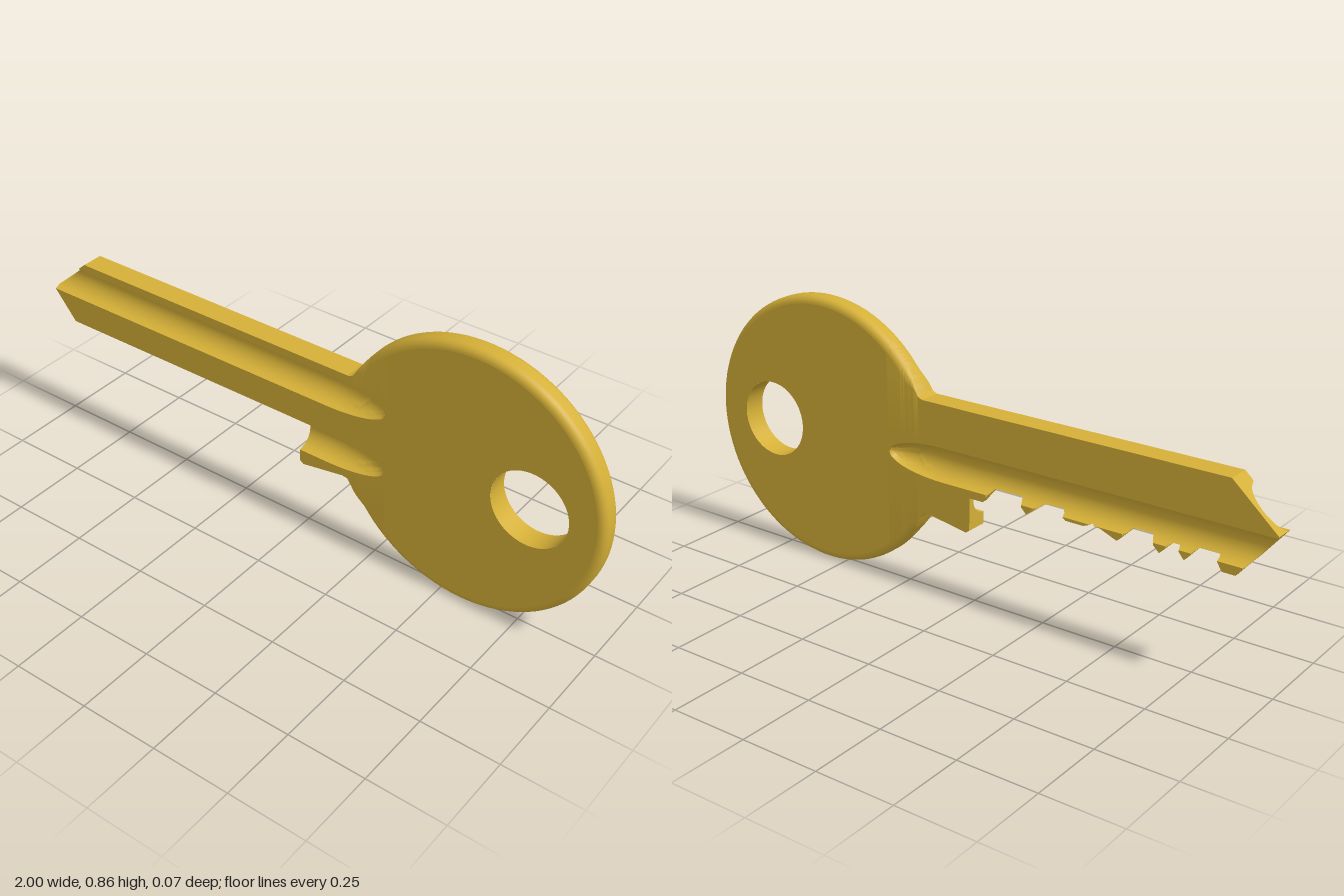
import * as THREE from 'three';
import { toCreasedNormals } from 'three/addons/utils/BufferGeometryUtils.js';

const H = 0.036;                       // half thickness
const R = 0.432, CX = 0.568, CY = 0.432; // round head
const RIM = 0.024;                     // rounding of the head's edge
const NECK = 0.183, SEAM = 0.3;        // where the circle starts, where the bow starts

// Outline of the blade, left to right
const topLine = [[-1, 0.49], [-0.855, 0.62], [0.165, 0.62], [0.175, 0.623], [NECK, 0.628]];
const bottomLine = [
  [-1, 0.49], [-0.883, 0.348], [-0.842, 0.348], [-0.82, 0.384], [-0.757, 0.384], [-0.727, 0.35],
  [-0.702, 0.38], [-0.68, 0.38], [-0.65, 0.35], [-0.612, 0.386], [-0.55, 0.386], [-0.515, 0.35],
  [-0.46, 0.372], [-0.43, 0.376], [-0.405, 0.366], [-0.345, 0.366], [-0.318, 0.386], [-0.255, 0.384],
  [-0.21, 0.35], [-0.175, 0.386], [-0.078, 0.386], [-0.055, 0.35], [-0.008, 0.35], [-0.006, 0.245],
  [0.006, 0.236], [0.15, 0.26], [0.168, 0.257], [NECK, 0.236],
];
// Milled grooves: centre height and half width, from bottom to top
const frontGrooves = [[0.337, 0.053], [0.54, 0.055]];
const backGrooves = [[0.43, 0.055]];

function lineAt(line, x) {
  for (let i = 1; i < line.length; i++) {
    const [x0, y0] = line[i - 1], [x1, y1] = line[i];
    if (x <= x1) return y0 + (y1 - y0) * (x - x0) / (x1 - x0);
  }
  return line[line.length - 1][1];
}

// Outline height at x, inset by d from the circle on the head
function edgeAt(x, sign, d) {
  if (x <= NECK) return lineAt(sign > 0 ? topLine : bottomLine, x);
  return CY + sign * Math.sqrt(Math.max(0, (R - d) ** 2 - (x - CX) ** 2));
}

const rimAt = (x) => RIM * THREE.MathUtils.smoothstep(x, NECK, 0.235);

// Grooves run out in an elliptical end inside the head
function grooveWidth(w, x) {
  const t = Math.max(0, (x - 0.09) / 0.205);
  return w * Math.sqrt(Math.max(0, 1 - t * t));
}

function depthAt(x, y, grooves) {
  let z = H;
  const r = rimAt(x), d = Math.max(0, R - Math.hypot(x - CX, y - CY));
  if (r > 0 && d < r) z -= r - Math.sqrt(Math.max(0, r * r - (r - d) ** 2));
  for (const [c, w] of grooves) {
    z -= Math.sqrt(Math.max(0, grooveWidth(w, x) ** 2 - (y - c) ** 2));
  }
  return z;
}

// One column of surface points from the bottom edge to the top edge
function column(x, grooves, side) {
  const insets = [0, 1, 2, 3, 4, 5].map((k) => rimAt(x) * (1 - Math.cos(k * Math.PI / 10)));
  const low = insets.map((d) => edgeAt(x, -1, d));
  const high = insets.map((d) => edgeAt(x, 1, d)).reverse();
  const ys = [...low];
  for (const [c, w] of grooves) {
    for (let k = 0; k <= 14; k++) {
      const y = c - grooveWidth(w, x) * Math.cos(k * Math.PI / 14);
      ys.push(THREE.MathUtils.clamp(y, low[5], high[0]));
    }
  }
  ys.push(...high);
  return ys.map((y) => new THREE.Vector3(x, y, side * depthAt(x, y, grooves)));
}

function bladeGeometry() {
  // Stations follow the corners of the outline, with finer steps between
  const corners = [...new Set([...topLine, ...bottomLine].map((p) => p[0]).concat(0.09, SEAM))].sort((a, b) => a - b);
  const xs = [corners[0]];
  for (let i = 1; i < corners.length; i++) {
    const a = corners[i - 1], b = corners[i];
    const rise = Math.abs(edgeAt(b, -1, 0) - edgeAt(a, -1, 0));
    const n = Math.ceil(Math.max(b - a, rise) / (a < -0.8 || a >= 0.09 ? 0.006 : 0.012));
    for (let k = 1; k <= n; k++) xs.push(a + (b - a) * k / n);
  }
  const front = xs.map((x) => column(x, frontGrooves, 1));
  const back = xs.map((x) => column(x, backGrooves, -1));

  const pos = [], ab = new THREE.Vector3(), ac = new THREE.Vector3();
  const tri = (a, b, c) => {
    if (ab.subVectors(b, a).cross(ac.subVectors(c, a)).length() < 1e-9) return;
    for (const p of [a, b, c]) pos.push(p.x, p.y, p.z);
  };
  const quad = (a, b, c, d) => { tri(a, b, c); tri(a, c, d); };
  for (let i = 0; i < xs.length - 1; i++) {
    const f = front[i], f2 = front[i + 1], b = back[i], b2 = back[i + 1];
    for (let j = 0; j < f.length - 1; j++) quad(f[j], f2[j], f2[j + 1], f[j + 1]);
    for (let j = 0; j < b.length - 1; j++) quad(b[j], b[j + 1], b2[j + 1], b2[j]);
    quad(f[0], b[0], b2[0], f2[0]);
    quad(f.at(-1), f2.at(-1), b2.at(-1), b.at(-1));
  }
  const geo = new THREE.BufferGeometry();
  geo.setAttribute('position', new THREE.Float32BufferAttribute(pos, 3));
  return toCreasedNormals(geo, 0.6);
}

export function createModel() {
  const key = new THREE.Group();
  key.name = 'key';
  const brass = new THREE.MeshStandardMaterial({ color: 0xd4af37 });
  const add = (parent, name, geo) => {
    const mesh = new THREE.Mesh(geo, brass);
    mesh.name = name;
    parent.add(mesh);
    return mesh;
  };

  // Blade with teeth, shoulder, grooves and the neck of the head
  add(key, 'blade', bladeGeometry());

  // Round head, built around its own centre
  const head = new THREE.Group();
  head.name = 'head';
  head.position.set(CX, CY, 0);
  key.add(head);

  const inner = R - RIM;
  const sweep = Math.acos((SEAM - CX) / inner);
  const holeX = 0.202, holeR = 0.122;

  // Flat sides with the ring hole
  const face = new THREE.Shape();
  face.absarc(0, 0, inner, -sweep, sweep, false);
  face.closePath();
  face.holes.push(new THREE.Path().absarc(holeX, 0, holeR, 0, Math.PI * 2, true));
  const flat = new THREE.ShapeGeometry(face, 72);
  add(head, 'headFront', flat).position.z = H;
  const rear = add(head, 'headBack', flat);
  rear.rotation.x = Math.PI;
  rear.position.z = -H;

  // Rounded rim
  const profile = [];
  for (const s of [-1, 1]) {
    for (let k = 0; k <= 6; k++) {
      const a = (s < 0 ? 6 - k : k) * Math.PI / 12;
      profile.push(new THREE.Vector2(inner + RIM * Math.cos(a), s * (H - RIM + RIM * Math.sin(a))));
    }
  }
  const rim = new THREE.LatheGeometry(profile, 72, Math.PI / 2 - sweep, sweep * 2);
  add(head, 'headRim', rim.rotateX(Math.PI / 2));

  // Wall of the ring hole
  const wall = new THREE.LatheGeometry([new THREE.Vector2(holeR, H), new THREE.Vector2(holeR, -H)], 72);
  add(head, 'ringHole', wall.rotateX(Math.PI / 2)).position.x = holeX;

  return key;
}
